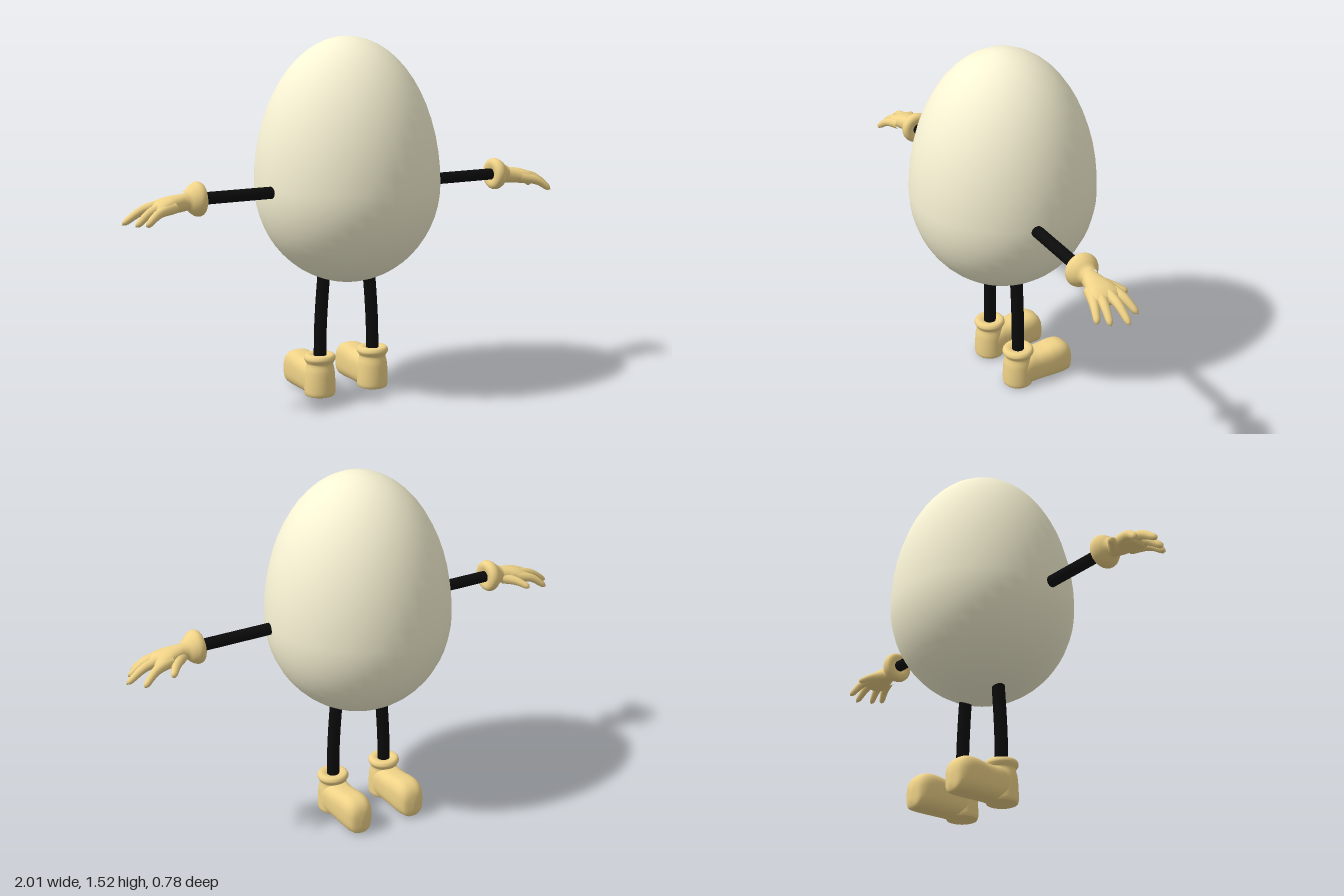
import * as THREE from 'three';
import { mergeVertices } from 'three/addons/utils/BufferGeometryUtils.js';

const shell = new THREE.MeshStandardMaterial({ color: 0xf8f3d4 });
const black = new THREE.MeshStandardMaterial({ color: 0x0b0b0b });
const tan = new THREE.MeshStandardMaterial({ color: 0xefd287 });

function add(parent, name, geometry, material) {
  const mesh = new THREE.Mesh(geometry, material);
  mesh.name = name;
  parent.add(mesh);
  return mesh;
}

// Weld seams and shade smoothly
function smooth(geometry) {
  geometry.deleteAttribute('uv');
  geometry.deleteAttribute('normal');
  const g = mergeVertices(geometry, 1e-5);
  g.computeVertexNormals();
  return g;
}

const vectors = (points) => points.map((p) => new THREE.Vector3(...p));

// Evenly spaced smooth curve through ring values
const ringCurve = (points) => new THREE.CatmullRomCurve3(vectors(points), false, 'catmullrom', 0.5);

// Lathe from a smooth curve through [radius, height] points, bottom to top
function lathe(points, samples, sides) {
  const curve = new THREE.SplineCurve(points.map((p) => new THREE.Vector2(...p)));
  return new THREE.LatheGeometry(curve.getPoints(samples), sides);
}

// Egg: a sphere with a shallow lower half and a tall upper half
function eggGeometry(radius, bottom, middle, top) {
  const g = new THREE.SphereGeometry(1, 40, 28);
  const pos = g.attributes.position;
  for (let i = 0; i < pos.count; i++) {
    const y = pos.getY(i);
    pos.setXYZ(i, pos.getX(i) * radius, middle + y * (y > 0 ? top - middle : middle - bottom), pos.getZ(i) * radius);
  }
  return smooth(g);
}

// Tube whose radius tapers from r0 to r1, with a rounded tip
function taperedTube(points, r0, r1) {
  const curve = new THREE.CatmullRomCurve3(vectors(points));
  const n = 16, sides = 10;
  const geometry = new THREE.TubeGeometry(curve, n, 1, sides);
  const pos = geometry.attributes.position, v = new THREE.Vector3();
  for (let i = 0; i <= n; i++) {
    const t = i / n, c = curve.getPointAt(t);
    const tip = Math.sqrt(Math.max(0, 1 - Math.pow(Math.max(0, (t - 0.85) / 0.15), 2)));
    const r = (r0 + (r1 - r0) * t) * tip;
    for (let j = 0; j <= sides; j++) {
      const k = i * (sides + 1) + j;
      v.fromBufferAttribute(pos, k).sub(c).multiplyScalar(r).add(c);
      pos.setXYZ(k, v.x, v.y, v.z);
    }
  }
  return smooth(geometry);
}

// Loft along +x through superellipse rings [x, bottomY, topY, halfWidth]
function loft(rings, power, sides = 32, steps = 36) {
  const place = ringCurve(rings.map(([x, low, high]) => [x, (low + high) / 2, 0]));
  const size = ringCurve(rings.map(([, low, high, w]) => [0, (high - low) / 2, w]));
  const bend = (c) => Math.sign(c) * Math.pow(Math.abs(c), 2 / power);
  const pos = [], index = [];
  for (let i = 0; i <= steps; i++) {
    const p = place.getPoint(i / steps), s = size.getPoint(i / steps);
    for (let j = 0; j < sides; j++) {
      const a = (j / sides) * Math.PI * 2;
      pos.push(p.x, p.y + s.y * bend(Math.cos(a)), s.z * bend(Math.sin(a)));
      if (i === steps) continue;
      const k = i * sides + j, m = i * sides + (j + 1) % sides;
      index.push(k, m, k + sides, m, m + sides, k + sides);
    }
  }
  const g = new THREE.BufferGeometry();
  g.setAttribute('position', new THREE.Float32BufferAttribute(pos, 3));
  g.setIndex(index);
  g.computeVertexNormals();
  return g;
}

// Glove reaching along +x; side flips the thumb
function makeGlove(side) {
  const glove = new THREE.Group();
  const cuff = add(glove, 'gloveCuff', lathe([
    [0.034, -0.05], [0.041, -0.032], [0.058, -0.014], [0.069, 0.008],
    [0.064, 0.028], [0.046, 0.036], [0.02, 0.03],
  ], 24, 28), tan);
  cuff.rotation.z = Math.PI / 2;
  add(glove, 'palm', loft([
    [0.01, -0.035, 0.026, 0.03], [0.045, -0.043, 0.026, 0.034], [0.08, -0.047, 0.023, 0.043],
    [0.115, -0.048, 0.018, 0.055], [0.15, -0.051, 0.008, 0.06], [0.178, -0.053, -0.009, 0.05],
    [0.19, -0.038, -0.034, 0.002],
  ], 2.2), tan);
  const fingers = {
    thumb: [[0.06, -0.02, -0.02], [0.1, -0.028, -0.063], [0.138, -0.05, -0.112]],
    indexFinger: [[0.11, -0.018, -0.035], [0.185, -0.032, -0.06], [0.248, -0.078, -0.086]],
    middleFinger: [[0.11, -0.012, -0.01], [0.21, -0.028, -0.015], [0.296, -0.08, -0.02]],
    ringFinger: [[0.11, -0.015, 0.015], [0.195, -0.032, 0.03], [0.264, -0.082, 0.043]],
    littleFinger: [[0.1, -0.02, 0.034], [0.175, -0.036, 0.06], [0.236, -0.078, 0.083]],
  };
  for (const [name, path] of Object.entries(fingers)) {
    add(glove, name, taperedTube(path.map(([x, y, z]) => [x, y, z * side]), 0.025, 0.012), tan);
  }
  return glove;
}

// Boot with its ankle on the origin, toe toward -z
function makeBoot() {
  const boot = new THREE.Group();
  add(boot, 'bootShaft', lathe([
    [0, 0], [0.054, 0.001], [0.065, 0.01], [0.067, 0.03], [0.066, 0.07], [0.063, 0.11], [0.057, 0.14],
    [0.063, 0.152], [0.068, 0.165], [0.06, 0.18], [0.04, 0.181], [0.02, 0.172],
  ], 48, 32), tan);
  const foot = add(boot, 'bootFoot', loft([
    [-0.03, 0.003, 0.11, 0.045], [0, 0.001, 0.132, 0.063], [0.035, 0, 0.146, 0.065],
    [0.075, 0, 0.145, 0.064], [0.115, 0, 0.149, 0.064], [0.155, 0, 0.156, 0.065],
    [0.195, 0, 0.156, 0.064], [0.226, 0.001, 0.143, 0.057], [0.246, 0.005, 0.118, 0.042],
    [0.256, 0.03, 0.08, 0.01],  [0.257, 0.054, 0.056, 0.001],
  ], 2.8, 36, 50), tan);
  foot.rotation.y = Math.PI / 2;
  return boot;
}

export function createModel() {
  const model = new THREE.Group();
  model.name = 'eggFigure';
  const figure = new THREE.Group();
  figure.name = 'figure';
  figure.rotation.y = -0.17;
  model.add(figure);

  // Egg body
  const egg = add(figure, 'eggBody', eggGeometry(0.391, 0.488, 0.905, 1.518), shell);
  egg.position.x = -0.004;

  for (const side of [1, -1]) {
    const label = side > 0 ? 'left' : 'right';

    // Arm and glove, built along +x and turned to its side
    const arm = new THREE.Group();
    arm.name = label + 'Arm';
    arm.position.set(0, 0.9, 0.056);
    arm.rotation.y = side > 0 ? 0 : Math.PI;
    const rod = add(arm, 'armRod', new THREE.CylinderGeometry(0.025, 0.025, 0.345, 16), black);
    rod.rotation.z = Math.PI / 2;
    rod.position.x = 0.545;
    const glove = makeGlove(side);
    glove.name = label + 'Glove';
    glove.position.x = 0.724;
    arm.add(glove);
    figure.add(arm);

    // Gently bowed leg
    const path = new THREE.CatmullRomCurve3(vectors([
      [side * 0.108, 0.54, 0], [side * 0.12, 0.4, 0], [side * 0.127, 0.28, 0], [side * 0.129, 0.15, 0],
    ]));
    const leg = add(figure, label + 'Leg', new THREE.TubeGeometry(path, 16, 0.027, 16), black);
    leg.position.set(-0.005, 0, -0.005);

    // Boot
    const boot = makeBoot();
    boot.name = label + 'Boot';
    boot.position.set(side * 0.13 - 0.005, 0, -0.005);
    figure.add(boot);
  }
  return model;
}
